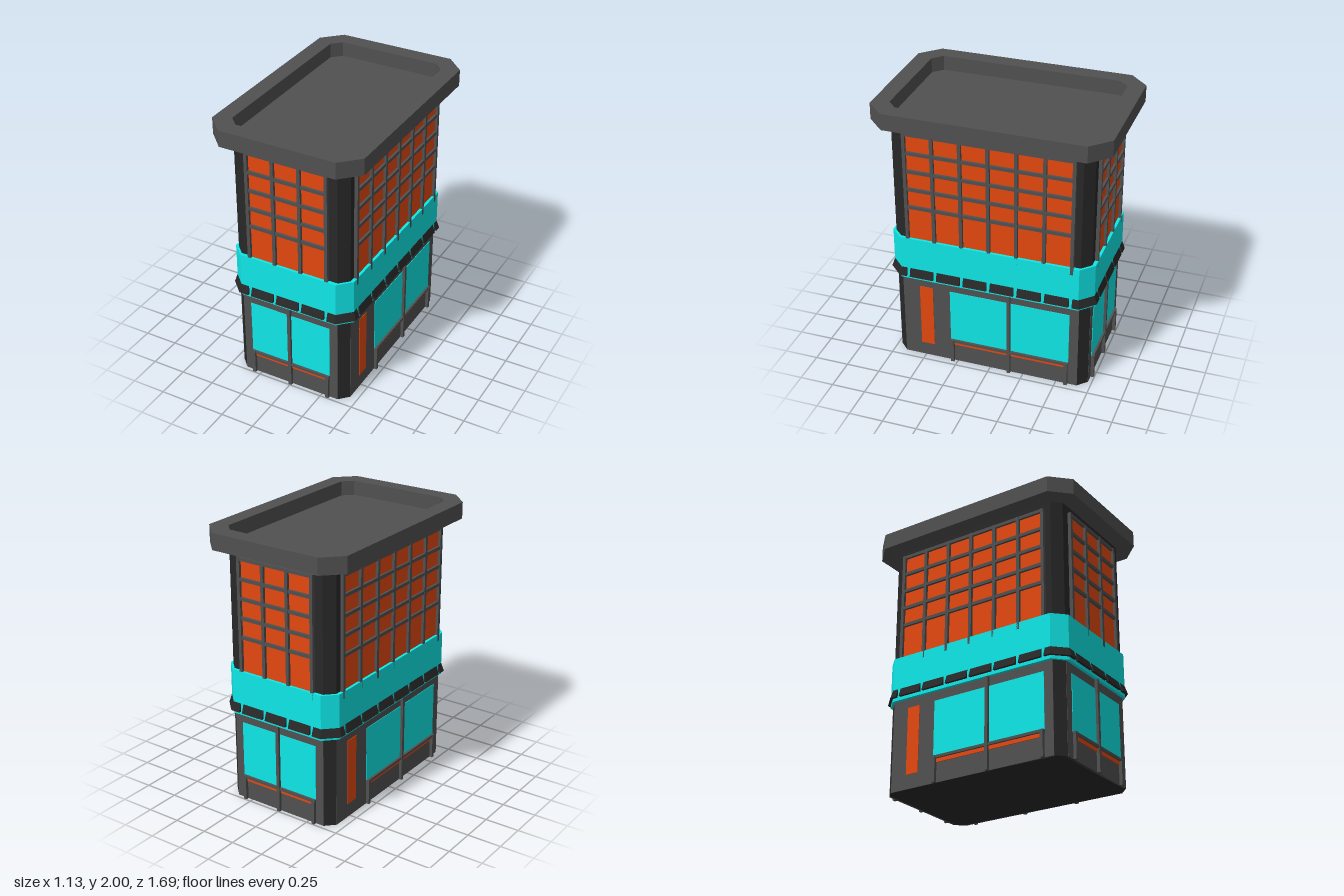
import * as THREE from 'three';

const mat = (color) => new THREE.MeshStandardMaterial({ color, flatShading: true });

// Rectangle with cut corners
function octPoints(hx, hz, c) {
  return [
    [hx - c, -hz], [hx, c - hz], [hx, hz - c], [hx - c, hz],
    [c - hx, hz], [-hx, hz - c], [-hx, c - hz], [c - hx, -hz],
  ].map(([x, y]) => new THREE.Vector2(x, y));
}

// Upright eight-sided slab, optionally with an eight-sided hole
function octSlab(outer, y0, y1, hole) {
  const shape = new THREE.Shape(octPoints(...outer));
  if (hole) shape.holes.push(new THREE.Path(octPoints(...hole).reverse()));
  const geo = new THREE.ExtrudeGeometry(shape, { depth: y1 - y0, bevelEnabled: false });
  return geo.rotateX(-Math.PI / 2).translate(0, y0, 0);
}

// Triangular strip swept along stations [innerX, innerZ, outerX, outerZ]
function wedge(stations, yLow, yHigh) {
  const pos = [];
  stations.forEach(([ix, iz, ox, oz]) => pos.push(ix, yHigh, iz, ox, yLow, oz, ix, yLow, iz));
  const idx = [];
  const n = stations.length;
  for (let i = 0; i < n - 1; i++) {
    for (let k = 0; k < 3; k++) {
      const a = i * 3 + k, b = i * 3 + (k + 1) % 3;
      idx.push(a, b, a + 3, b, b + 3, a + 3);
    }
  }
  const e = (n - 1) * 3;
  idx.push(0, 2, 1, e, e + 1, e + 2);
  const geo = new THREE.BufferGeometry();
  geo.setAttribute('position', new THREE.Float32BufferAttribute(pos, 3));
  geo.setIndex(idx);
  const flat = geo.toNonIndexed();
  flat.computeVertexNormals();
  return flat;
}

export function createModel() {
  const model = new THREE.Group();
  const grey = mat(0x515151), dark = mat(0x282828), orange = mat(0xe6480f), cyan = mat(0x0fe8e8);

  function add(parent, name, geo, material) {
    const mesh = new THREE.Mesh(geo, material);
    mesh.name = name;
    parent.add(mesh);
    return mesh;
  }

  // Box on a facade: u across, y up, sunk into the wall and standing out by d
  function plate(parent, name, u0, u1, y0, y1, d, material) {
    const back = -0.015;
    const geo = new THREE.BoxGeometry(u1 - u0, y1 - y0, d - back);
    geo.translate((u0 + u1) / 2, (y0 + y1) / 2, (d + back) / 2);
    add(parent, name, geo, material);
  }

  // Main volumes
  add(model, 'towerCore', octSlab([0.44, 0.72, 0.063], 0, 1.885), dark);
  add(model, 'signBand', octSlab([0.465, 0.745, 0.09], 0.668, 1.0), cyan);
  add(model, 'roofParapet', octSlab([0.563, 0.843, 0.133], 1.88, 2, [0.443, 0.722, 0.068]), grey);
  add(model, 'roofFloor', octSlab([0.443, 0.722, 0.068], 1.882, 1.892), grey);

  // One facade, with its upper grid, ground-floor windows and awning
  function facade(name, angle, dist, halfWall, columns, win, door) {
    const g = new THREE.Group();
    g.name = name;
    const f = new THREE.Group();
    f.position.z = dist;
    g.add(f);
    g.rotation.y = angle;
    model.add(g);
    const edge = columns / 10;
    const bar = 0.012;

    // Upper window grid
    plate(f, 'upperGlass', -edge, edge, 0.95, 1.82, 0.005, orange);
    for (let i = 0; i <= columns; i++) {
      const u = -edge + i * 0.2;
      plate(f, 'upperMullion', u - bar, u + bar, 0.95, 1.83, 0.025, grey);
    }
    for (const y of [1.255, 1.395, 1.535, 1.675, 1.818]) {
      plate(f, 'upperCrossbar', -edge, edge, y - bar, y + bar, 0.022, grey);
    }

    // Ground floor: wall, two windows, sill, orange strip and posts
    plate(f, 'lowerWall', -halfWall, halfWall, 0, 0.67, 0.002, grey);
    const [u0, u1] = win;
    const mid = (u0 + u1) / 2;
    plate(f, 'shopWindow', u0, u1, 0.19, 0.6, 0.006, cyan);
    plate(f, 'sillStrip', u0 + 0.02, u1 - 0.02, 0.143, 0.172, 0.008, orange);
    plate(f, 'sill', u0, u1, 0.17, 0.19, 0.022, grey);
    plate(f, 'centrePost', mid - bar, mid + bar, 0, 0.67, 0.025, grey);
    for (const u of [u0 + 0.015, u1 - 0.015]) {
      plate(f, 'sidePost', u - bar, u + bar, 0, 0.19, 0.025, grey);
    }
    if (door) plate(f, 'doorPanel', door[0], door[1], 0.105, 0.6, 0.006, orange);

    // Awning pieces between the mullion lines
    const inner = dist + 0.025, outer = dist + 0.045;
    for (let i = 0; i < columns; i++) {
      const a = -edge + i * 0.2 + bar, b = a + 0.2 - 2 * bar;
      add(g, 'awningPiece', wedge([[a, inner, a, outer], [b, inner, b, outer]], 0.692, 0.755), dark);
    }
  }

  // Opposite facades repeat by half a turn
  for (const [turn, a, b] of [[0, 'front', 'left'], [Math.PI, 'back', 'right']]) {
    facade(a + 'Facade', turn, 0.72, 0.377, 3, [-0.315, 0.315], null);
    facade(b + 'Facade', turn + Math.PI / 2, 0.44, 0.657, 6, [-0.3, 0.59], [-0.53, -0.43]);
  }

  // Awning around the four cut corners
  const corner = [
    [0.312, 0.745, 0.312, 0.765], [0.375, 0.745, 0.383, 0.765],
    [0.465, 0.655, 0.485, 0.663], [0.465, 0.612, 0.485, 0.612],
  ];
  for (const sx of [1, -1]) {
    for (const sz of [1, -1]) {
      const path = corner.map(([a, b, c, d]) => [a * sx, b * sz, c * sx, d * sz]);
      if (sx * sz < 0) path.reverse();
      add(model, 'awningCorner', wedge(path, 0.692, 0.755), dark);
    }
  }
  return model;
}
